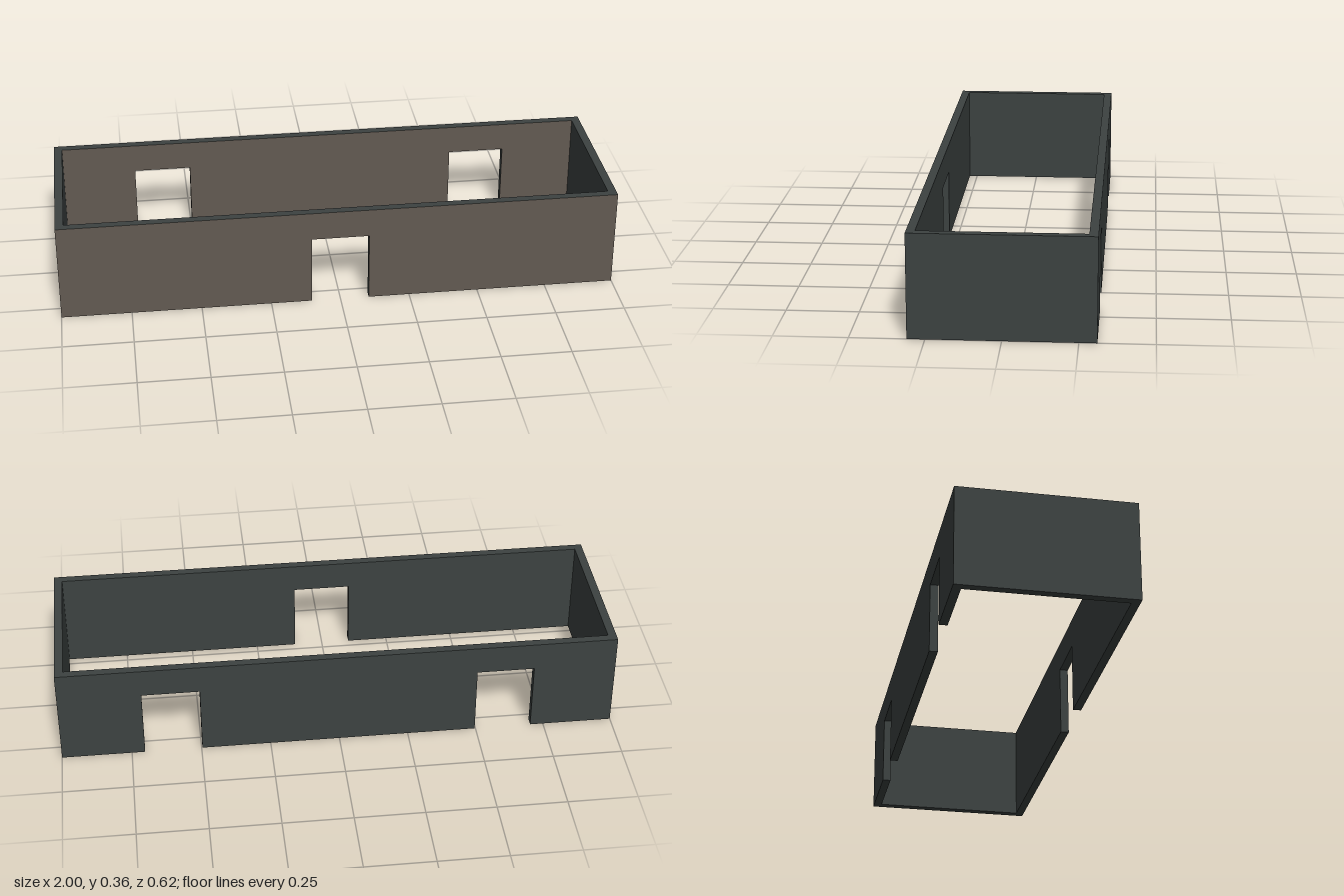
import * as THREE from 'three';

const LENGTH = 2, DEPTH = 0.62, HEIGHT = 0.36, WALL = 0.03;
const DOOR_WIDTH = 0.206, DOOR_HEIGHT = 0.255;

export function createModel() {
  const slate = new THREE.MeshStandardMaterial({ color: 0x3c4241 });
  slate.name = 'dark slate';
  const brown = new THREE.MeshStandardMaterial({ color: 0x635a52 });
  brown.name = 'warm brown';

  const model = new THREE.Group();
  model.name = 'wallEnclosure';

  // Long wall with doorways cut up from the floor; its +z face is brown
  function longWall(name, z, doorCentres) {
    const half = LENGTH / 2, d = DOOR_WIDTH / 2;
    const outline = new THREE.Shape();
    outline.moveTo(-half, 0);
    for (const x of doorCentres) {
      outline.lineTo(x - d, 0);
      outline.lineTo(x - d, DOOR_HEIGHT);
      outline.lineTo(x + d, DOOR_HEIGHT);
      outline.lineTo(x + d, 0);
    }
    outline.lineTo(half, 0);
    outline.lineTo(half, HEIGHT);
    outline.lineTo(-half, HEIGHT);
    outline.closePath();

    const geometry = new THREE.ExtrudeGeometry(outline, { depth: WALL, bevelEnabled: false });
    geometry.translate(0, 0, -WALL / 2);
    // Caps come first: rear half, then front half, followed by the edges
    const [caps, edges] = geometry.groups.map((g) => g.count);
    geometry.clearGroups();
    geometry.addGroup(0, caps / 2, 0);
    geometry.addGroup(caps / 2, caps / 2, 1);
    geometry.addGroup(caps, edges, 0);

    const wall = new THREE.Mesh(geometry, [slate, brown]);
    wall.name = name;
    wall.position.z = z;
    model.add(wall);
  }

  const wallZ = (DEPTH - WALL) / 2;
  longWall('frontWall', wallZ, [0]);
  longWall('backWall', -wallZ, [-0.6, 0.6]);

  // Plain end walls between the long walls
  for (const side of [-1, 1]) {
    const end = new THREE.Mesh(new THREE.BoxGeometry(WALL, HEIGHT, DEPTH - 2 * WALL), slate);
    end.name = side > 0 ? 'leftEndWall' : 'rightEndWall';
    end.position.set(side * (LENGTH - WALL) / 2, HEIGHT / 2, 0);
    model.add(end);
  }

  return model;
}
